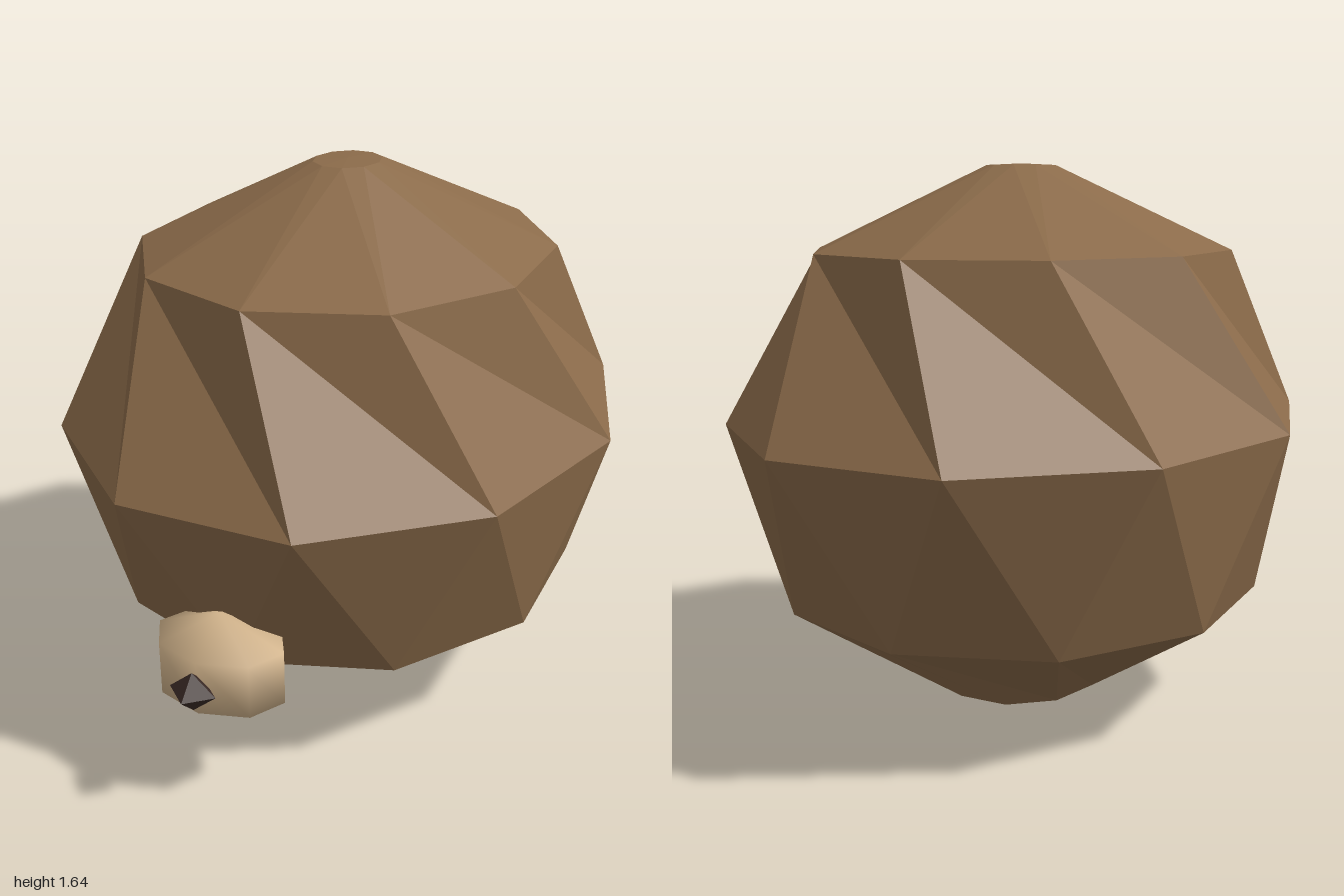
import * as THREE from 'three';

const SIDES = 10;
const STEP = (Math.PI * 2) / SIDES;

// Faceted shell from stacked elliptical rings, each turned half a step against the next
function twistedShell(rings, bottomY, topY, cx, cz) {
  const positions = [];
  const add = (...points) => points.forEach((p) => positions.push(...p));
  const point = ([y, rx, rz, turn], k) => {
    const a = (k + turn) * STEP;
    return [cx + rx * Math.sin(a), y, cz + rz * Math.cos(a)];
  };
  const first = rings[0];
  const last = rings[rings.length - 1];
  for (let k = 0; k < SIDES; k++) {
    add([cx, bottomY, cz], point(first, k + 1), point(first, k));
    for (let i = 0; i < rings.length - 1; i++) {
      const [low, high] = [rings[i], rings[i + 1]];
      add(point(low, k), point(low, k + 1), point(high, k));
      add(point(high, k), point(low, k + 1), point(high, k + 1));
    }
    add([cx, topY, cz], point(last, k), point(last, k + 1));
  }
  const geometry = new THREE.BufferGeometry();
  geometry.setAttribute('position', new THREE.Float32BufferAttribute(positions, 3));
  geometry.computeVertexNormals();
  return geometry;
}

function addPart(group, name, geometry, color, flatShading) {
  const material = new THREE.MeshStandardMaterial({ color, flatShading });
  const mesh = new THREE.Mesh(geometry, material);
  mesh.name = name;
  group.add(mesh);
  return mesh;
}

export function createModel() {
  const group = new THREE.Group();
  group.name = 'curledAnimal';

  // Body rings: height, x radius, z radius, turn in steps
  const rings = [
    [0.037, 0.245, 0.272, 0.5],
    [0.355, 0.72, 0.765, 0],
    [0.885, 0.843, 0.975, 0.5],
    [1.385, 0.62, 0.683, 0],
    [1.632, 0.1, 0.117, 0.5],
  ];
  addPart(group, 'body', twistedShell(rings, 0, 1.637, -0.005, -0.065), 0x8b6b4a, true);

  // Smooth pale snout
  const snout = addPart(group, 'snout', new THREE.SphereGeometry(1, 8, 3), 0xd2b48c, false);
  snout.scale.set(0.225, 0.162, 0.16);
  snout.position.set(-0.008, 0.408, 0.78);

  // Pointed dark nose
  const nose = addPart(group, 'nose', new THREE.OctahedronGeometry(1), 0x3b2b26, true);
  nose.scale.set(0.07, 0.06, 0.06);
  nose.position.set(-0.008, 0.413, 0.94);

  return group;
}
